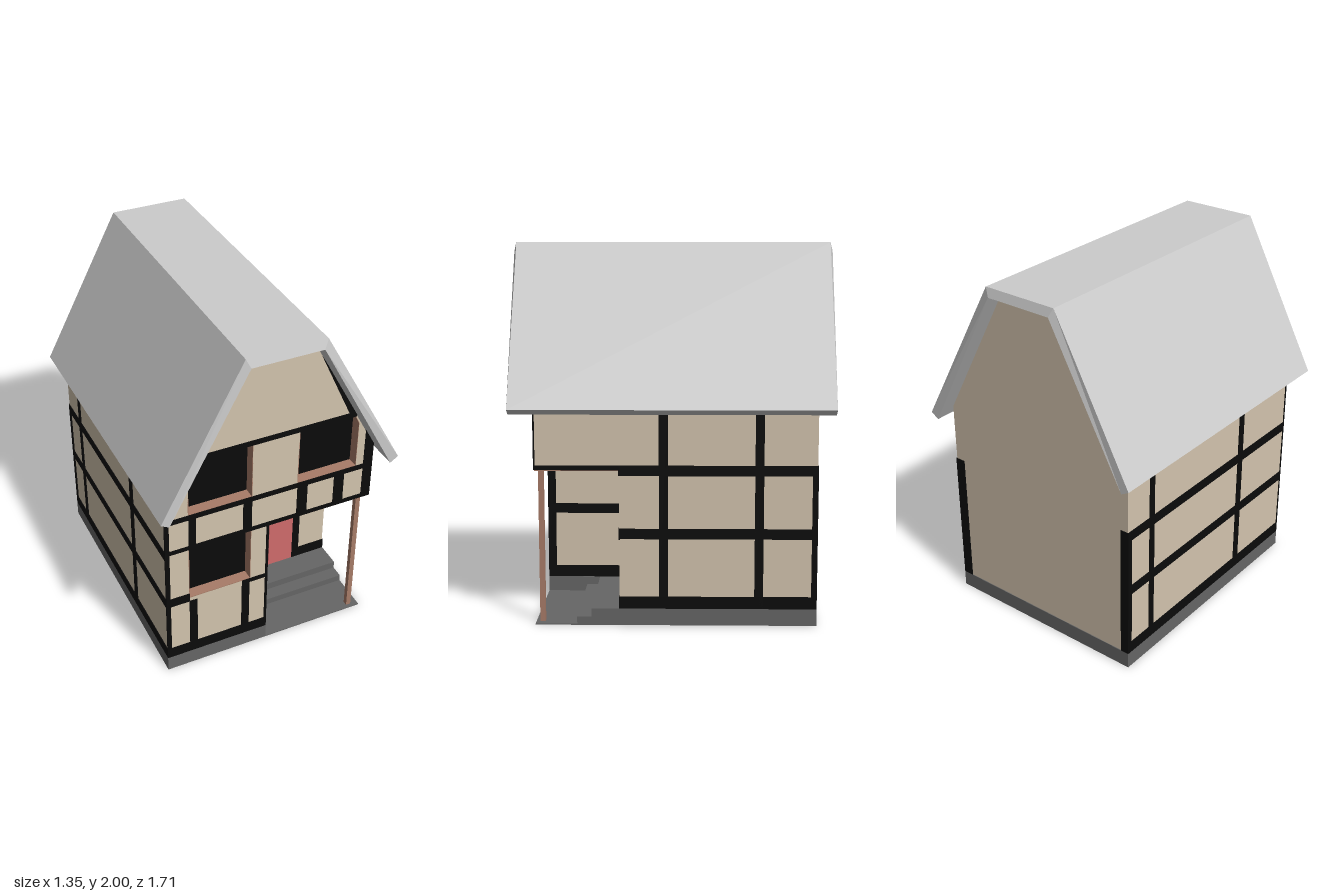
import * as THREE from 'three';

const mat = (color) => new THREE.MeshStandardMaterial({ color, flatShading: true });

export function createModel() {
  const root = new THREE.Group();
  const plaster = mat(0xd3c4ae), timber = mat(0x0b0b0b), stone = mat(0x666666);
  const wood = mat(0xa87c68), red = mat(0xd06c6c), slate = mat(0xcccccc);

  const add = (name, geo, material, parent = root) => {
    const m = new THREE.Mesh(geo, material);
    m.name = name;
    parent.add(m);
    return m;
  };
  // Box from its two corners
  const box = (name, material, x0, x1, y0, y1, z0, z1, parent) => {
    const m = add(name, new THREE.BoxGeometry(x1 - x0, y1 - y0, z1 - z0), material, parent);
    m.position.set((x0 + x1) / 2, (y0 + y1) / 2, (z0 + z1) / 2);
    return m;
  };
  const outline = (pts) => new THREE.Shape(pts.map(([x, y]) => new THREE.Vector2(x, y)));
  // Front outline extruded between two depths
  const slab = (name, material, pts, z0, z1, holes = [], parent) => {
    const s = outline(pts);
    holes.forEach((h) => s.holes.push(outline(h)));
    const geo = new THREE.ExtrudeGeometry(s, { depth: z1 - z0, bevelEnabled: false });
    return add(name, geo.translate(0, 0, z0), material, parent);
  };
  const group = (name) => {
    const g = new THREE.Group();
    g.name = name;
    root.add(g);
    return g;
  };

  const L = -0.606, R = 0.596, F = 0.716, B = -0.756;  // wall faces
  const NX = -0.015, NZ = 0.275, NY = 0.83;            // porch corner
  const T = 0.004;                                     // timber relief

  // Stone base, porch floor and steps
  const base = group('stoneBase');
  box('mainBase', stone, -0.61, 0.6, 0, 0.09, -0.76, 0.425, base);
  box('frontBase', stone, -0.61, -0.01, 0, 0.09, 0.425, 0.72, base);
  box('lowerStep', stone, -0.01, 0.6, 0, 0.045, 0.425, 0.5, base);
  box('porchFloor', stone, -0.01, 0.6, 0, 0.006, 0.5, 0.72, base);

  // Walls: full rear block, notched front block, front skin with window openings
  const gable = [[R, 1.18], [0.18, 1.952], [-0.207, 1.952], [L, 1.18]];
  const rear = [[L, 0.09], [R, 0.09], ...gable];
  const front = [[L, 0.09], [NX, 0.09], [NX, NY], [R, NY], ...gable];
  const windows = [
    [[-0.475, 0.49], [-0.115, 0.49], [-0.115, 0.83], [-0.475, 0.83]],
    [[-0.475, 1.06], [-0.115, 1.06], [-0.115, 1.39], [-0.475, 1.39]],
    [[0.15, 1.06], [0.5, 1.06], [0.5, 1.34], [0.475, 1.39], [0.15, 1.39]],
  ];
  const back = F - 0.065;
  slab('rearWalls', plaster, rear, B, NZ);
  slab('frontWalls', plaster, front, NZ, back);
  slab('frontWall', plaster, front, back, F, windows);

  // Dark panes and wooden reveals
  windows.forEach((pts) => {
    const g = group('window');
    slab('pane', timber, pts, back, back + 0.004, [], g);
    pts.forEach(([x, y], i) => {
      const [u, v] = pts[(i + 1) % pts.length];
      const geo = new THREE.BoxGeometry(Math.hypot(u - x, v - y), 0.004, F - back);
      const m = add('reveal', geo, wood, g);
      m.position.set((x + u) / 2, (y + v) / 2, (F + back) / 2);
      m.rotation.z = Math.atan2(v - y, u - x);
    });
  });

  // Front timbers: x0, x1, y0, y1
  const frontFrame = group('frontTimbers');
  [
    [-0.61, -0.011, 0.09, 0.155], [-0.61, -0.475, 0.465, 0.52], [-0.165, -0.115, 0.465, 0.49],
    [-0.115, -0.011, 0.465, 0.49], [-0.475, -0.43, 0.155, 0.465], [-0.165, -0.12, 0.155, 0.465],
    [-0.025, -0.011, 0.155, 0.83], [-0.61, 0.6, 0.83, 0.855], [-0.61, 0.6, 1.03, 1.06],
    [-0.475, -0.435, 0.855, 1.03], [-0.165, -0.115, 0.855, 1.03], [0.15, 0.21, 0.855, 1.03],
    [0.37, 0.43, 0.855, 1.03], [-0.495, 0.48, 1.39, 1.42],
  ].forEach(([a, b, c, d]) => box('timber', timber, a, b, c, d, F - T, F + T, frontFrame));
  [
    [[-0.61, 0.09], [-0.585, 0.09], [-0.585, 1.23], [-0.61, 1.18]],
    [[0.545, 0.855], [0.6, 0.855], [0.6, 1.18], [0.545, 1.29]],
    [[-0.455, 1.42], [-0.275, 1.82], [-0.495, 1.42]],
    [[0.435, 1.42], [0.48, 1.42], [0.25, 1.82]],
  ].forEach((p) => slab('timber', timber, p, F - T, F + T, [], frontFrame));

  // Porch back wall timbers
  const porchFrame = group('porchTimbers');
  [
    [NX, 0.2, 0.09, 0.145], [0.385, 0.6, 0.09, 0.155], [NX, 0.2, 0.46, 0.52],
    [0.2, 0.385, 0.49, 0.52], [0.385, 0.6, 0.46, 0.52], [NX, 0.6, 0.8, 0.83],
    [0.155, 0.2, 0.145, 0.8], [0.385, 0.43, 0.155, 0.8],
  ].forEach(([a, b, c, d]) => box('timber', timber, a, b, c, d, NZ - T, NZ + T, porchFrame));

  // Side timbers: z0, z1, y0, y1 on a wall at x
  const side = (name, x, list) => {
    const g = group(name);
    list.forEach(([a, b, c, d]) => box('timber', timber, x - T, x + T, c, d, a, b, g));
  };
  const rails = (z1) => [[-0.76, z1, 0.09, 0.155], [-0.76, z1, 0.465, 0.52], [-0.76, z1, 0.8, 0.855]];
  side('leftSideTimbers', R, [
    ...rails(NZ), [NZ, 0.72, 0.83, 0.855], [0.02, 0.068, 0.09, 1.18],
    [-0.478, -0.432, 0.09, 1.18], [-0.76, -0.73, 0.09, 0.855],
  ]);
  side('rightSideTimbers', L, [
    ...rails(0.72), [0.235, 0.28, 0.09, 1.18], [-0.58, -0.54, 0.09, 1.18], [-0.76, -0.73, 0.09, 0.855],
  ]);
  side('porchSideTimbers', NX, [
    [NZ, 0.72, 0.09, 0.155], [NZ, 0.72, 0.465, 0.52], [0.675, 0.72, 0.09, 0.83],
  ]);

  // Rear corner posts
  box('rearCornerPost', timber, -0.61, -0.56, 0.09, 0.855, B - T, B + T);
  box('rearCornerPost', timber, 0.54, 0.6, 0.09, 0.855, B - T, B + T);

  // Porch ceiling and post
  box('porchCeiling', wood, NX, R, NY - 0.004, NY, NZ, F);
  box('porchPost', wood, 0.53, 0.558, 0, NY, 0.672, 0.7);

  // Door with a raised panel
  const door = group('door');
  box('doorLeaf', red, 0.2, 0.385, 0.09, 0.49, NZ - T, NZ + T, door);
  box('doorPanel', red, 0.228, 0.357, 0.125, 0.473, NZ, NZ + 0.008, door);

  // Roof shell; the inner top edge reaches slightly further out at both ends
  const roof = slab('roof', slate, [
    [-0.675, 1.16], [-0.63, 1.135], [-0.207, 1.952], [0.18, 1.952],
    [0.63, 1.125], [0.675, 1.155], [0.205, 2], [-0.23, 2],
  ], -0.842, 0.842);
  const p = roof.geometry.attributes.position;
  for (let i = 0; i < p.count; i++) {
    if (Math.abs(p.getY(i) - 1.952) < 0.01) p.setZ(i, Math.sign(p.getZ(i)) * 0.857);
  }
  roof.geometry.computeVertexNormals();
  return root;
}
